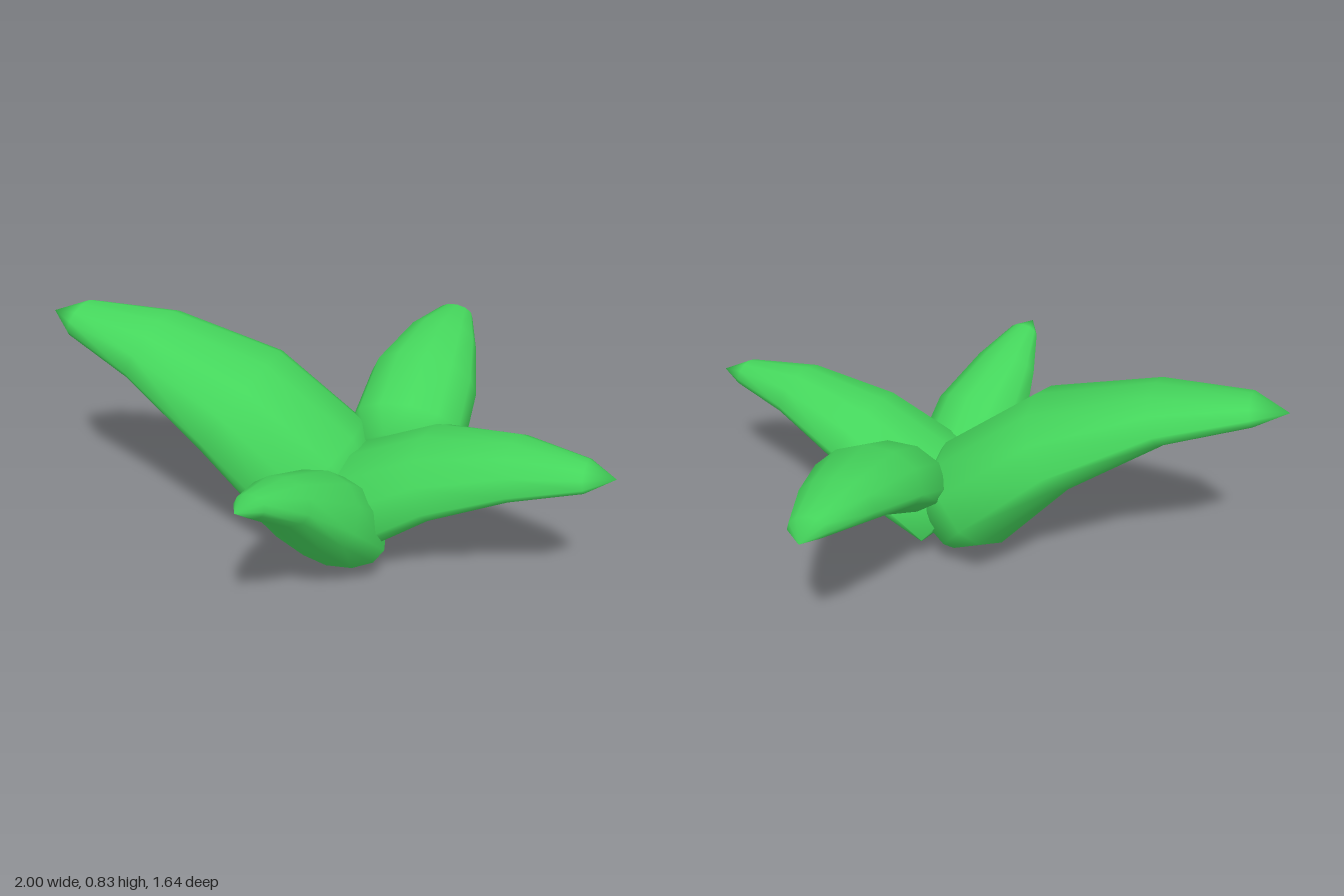
import * as THREE from 'three';

const SIDES = 12;

// Closed fleshy leaf: rings of [x, y, z, halfWidth, riseAbove, depthBelow] lofted to a pointed tip
function leafGeometry(stations, tip, roll) {
  const centres = stations.map(s => new THREE.Vector3(s[0], s[1], s[2]));
  centres.push(new THREE.Vector3(...tip));
  const up = new THREE.Vector3(0, 1, 0);
  const pos = [], index = [];

  stations.forEach(([, , , half, rise, depth], i) => {
    const along = centres[i + 1].clone().sub(centres[Math.max(i - 1, 0)]).normalize();
    const across = along.clone().cross(up).normalize().applyAxisAngle(along, roll);
    const normal = across.clone().cross(along);
    for (let j = 0; j < SIDES; j++) {
      const a = (j / SIDES) * Math.PI * 2, s = Math.sin(a);
      // The upper face is a little fuller than an ellipse
      const p = centres[i].clone()
        .addScaledVector(across, half * Math.cos(a))
        .addScaledVector(normal, s > 0 ? rise * Math.pow(s, 0.9) : depth * s);
      pos.push(p.x, p.y, p.z);
    }
  });

  const rings = stations.length, last = (rings - 1) * SIDES;
  const baseIndex = rings * SIDES, tipIndex = baseIndex + 1;
  pos.push(...centres[0].toArray(), ...tip);
  for (let j = 0; j < SIDES; j++) {
    const k = (j + 1) % SIDES;
    for (let i = 0; i < rings - 1; i++) {
      const a = i * SIDES + j, b = i * SIDES + k;
      index.push(a, a + SIDES, b, b, a + SIDES, b + SIDES);
    }
    index.push(baseIndex, j, k);
    index.push(last + j, tipIndex, last + k);
  }

  const g = new THREE.BufferGeometry();
  g.setAttribute('position', new THREE.Float32BufferAttribute(pos, 3));
  g.setIndex(index);
  g.computeVertexNormals();
  return g;
}

const leaves = [
  {
    name: 'largeBackRightLeaf', roll: -0.14, tip: [-1, 0.8, -0.49],
    stations: [
      [0.09, 0.11, 0, 0.19, 0.24, 0.08],
      [-0.01, 0.27, -0.045, 0.34, 0.26, 0.18],
      [-0.28, 0.52, -0.15, 0.32, 0.23, 0.13],
      [-0.61, 0.71, -0.3, 0.22, 0.13, 0.08],
      [-0.89, 0.785, -0.43, 0.11, 0.065, 0.05],
    ],
  },
  {
    name: 'frontLeftLeaf', roll: 0.17, tip: [1, 0.54, 0.62],
    stations: [
      [0.13, 0.11, 0.04, 0.24, 0.2, 0.06],
      [0.24, 0.22, 0.14, 0.3, 0.22, 0.11],
      [0.46, 0.39, 0.28, 0.25, 0.18, 0.09],
      [0.7, 0.49, 0.45, 0.165, 0.125, 0.06],
      [0.91, 0.53, 0.58, 0.08, 0.06, 0.04],
    ],
  },
  {
    name: 'frontRightLeaf', roll: 0, tip: [-0.32, 0.58, 0.82],
    stations: [
      [0.09, 0.06, 0.22, 0.14, 0.19, 0.07],
      [0.06, 0.16, 0.3, 0.2, 0.23, 0.11],
      [-0.05, 0.33, 0.45, 0.195, 0.19, 0.11],
      [-0.17, 0.48, 0.6, 0.13, 0.1, 0.07],
      [-0.27, 0.56, 0.75, 0.06, 0.045, 0.035],
    ],
  },
  {
    name: 'backLeftLeaf', roll: 0.12, tip: [0.71, 0.64, -0.82],
    stations: [
      [0.36, 0.32, -0.03, 0.18, 0.15, 0.05],
      [0.39, 0.38, -0.13, 0.23, 0.18, 0.1],
      [0.48, 0.5, -0.33, 0.22, 0.17, 0.07],
      [0.59, 0.59, -0.56, 0.15, 0.11, 0.06],
      [0.68, 0.635, -0.74, 0.075, 0.05, 0.03],
    ],
  },
];

export function createModel() {
  const model = new THREE.Group();
  model.name = 'leafCluster';
  const leafGreen = new THREE.MeshStandardMaterial({ color: 0x45d65c });
  leafGreen.name = 'leaf green';

  // Four leaves spreading from a shared base
  for (const { name, stations, tip, roll } of leaves) {
    const mesh = new THREE.Mesh(leafGeometry(stations, tip, roll), leafGreen);
    mesh.name = name;
    model.add(mesh);
  }
  return model;
}
